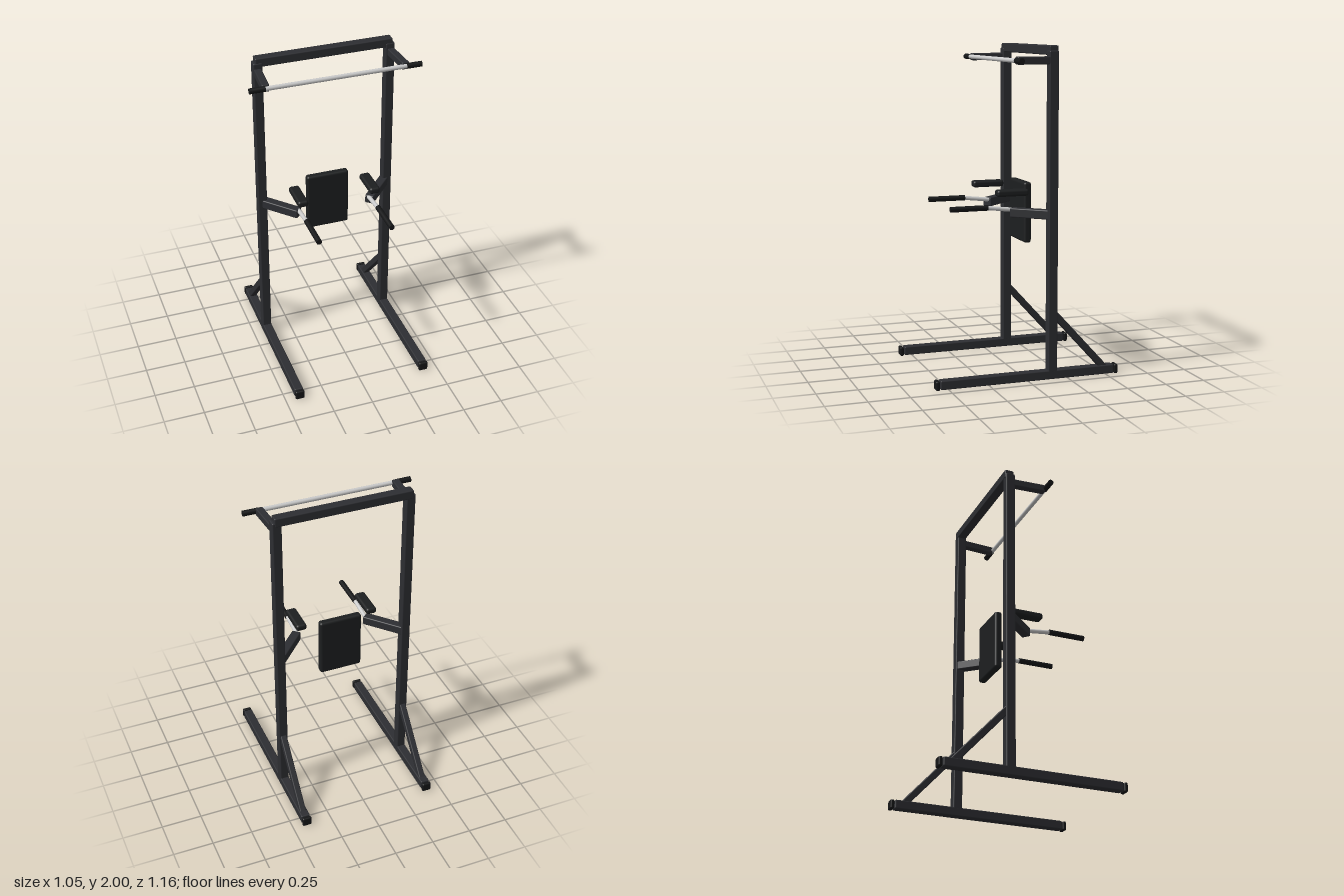
import * as THREE from 'three';
import { RoundedBoxGeometry } from 'three/addons/geometries/RoundedBoxGeometry.js';

const V = (x, y, z) => new THREE.Vector3(x, y, z);
const mat = (color) => new THREE.MeshStandardMaterial({ color });

export function createModel() {
  const model = new THREE.Group();
  model.name = 'pullUpDipStation';
  const frame = mat(0x2d2e32), padding = mat(0x1d1f20), rubber = mat(0x151617), steel = mat(0xcccccc);

  function box(name, size, pos, material, radius = 0.007) {
    const m = new THREE.Mesh(new RoundedBoxGeometry(...size, 3, radius), material);
    m.name = name;
    m.position.set(...pos);
    model.add(m);
    return m;
  }

  // Square tube running from a to b
  function beam(name, a, b, width, height, material = frame) {
    const mid = a.clone().add(b).multiplyScalar(0.5);
    const m = box(name, [width, height, a.distanceTo(b)], mid.toArray(), material);
    m.lookAt(b);
    return m;
  }

  // Round rod running from a to b
  function rod(name, a, b, radius, material) {
    const m = new THREE.Mesh(new THREE.CylinderGeometry(radius, radius, a.distanceTo(b), 20), material);
    m.name = name;
    m.position.copy(a).add(b).multiplyScalar(0.5);
    m.quaternion.setFromUnitVectors(V(0, 1, 0), b.clone().sub(a).normalize());
    model.add(m);
    return m;
  }

  for (const [side, s] of [['left', 1], ['right', -1]]) {
    const x = 0.41 * s;
    // Floor rail with end caps
    box(side + 'BaseRail', [0.056, 0.055, 1.1], [x, 0.034, 0], frame);
    for (const [end, d] of [['Front', 1], ['Rear', -1]]) {
      box(side + end + 'EndCap', [0.058, 0.058, 0.024], [x, 0.032, 0.567 * d], rubber, 0.009);
    }
    // Upright and diagonal rear brace
    box(side + 'Upright', [0.056, 1.92, 0.058], [x, 1.01, -0.151], frame);
    beam(side + 'RearBrace', V(x, 0.41, -0.16), V(x, 0.035, -0.502), 0.04, 0.042);

    // Pull-up bar bracket and outer grip
    beam(side + 'BarBracket', V(0.411 * s, 1.914, -0.16), V(0.427 * s, 1.914, 0.08), 0.045, 0.046);
    rod(side + 'PullUpGrip', V(0.43 * s, 1.914, 0.082), V(0.525 * s, 1.914, 0.082), 0.017, rubber);

    // Dip arm, angled handle tube, grip and forearm pad
    beam(side + 'DipArm', V(0.405 * s, 1.004, -0.155), V(0.228 * s, 1.004, 0.04), 0.056, 0.056);
    rod(side + 'HandleTube', V(0.229 * s, 1.018, 0.03), V(0.229 * s, 1.037, 0.2), 0.013, steel);
    rod(side + 'DipGrip', V(0.229 * s, 1.037, 0.19), V(0.229 * s, 1.037, 0.423), 0.017, rubber);
    box(side + 'ForearmPad', [0.066, 0.041, 0.2], [0.23 * s, 1.122, 0.038], padding, 0.015);
  }

  // Top crossbeam, pull-up bar and back pad
  box('topCrossbeam', [0.85, 0.056, 0.057], [0, 1.972, -0.154], frame);
  rod('pullUpBar', V(-0.45, 1.914, 0.082), V(0.45, 1.914, 0.082), 0.0135, steel);
  box('backPad', [0.27, 0.375, 0.047], [0, 0.979, -0.101], padding, 0.015);

  return model;
}
